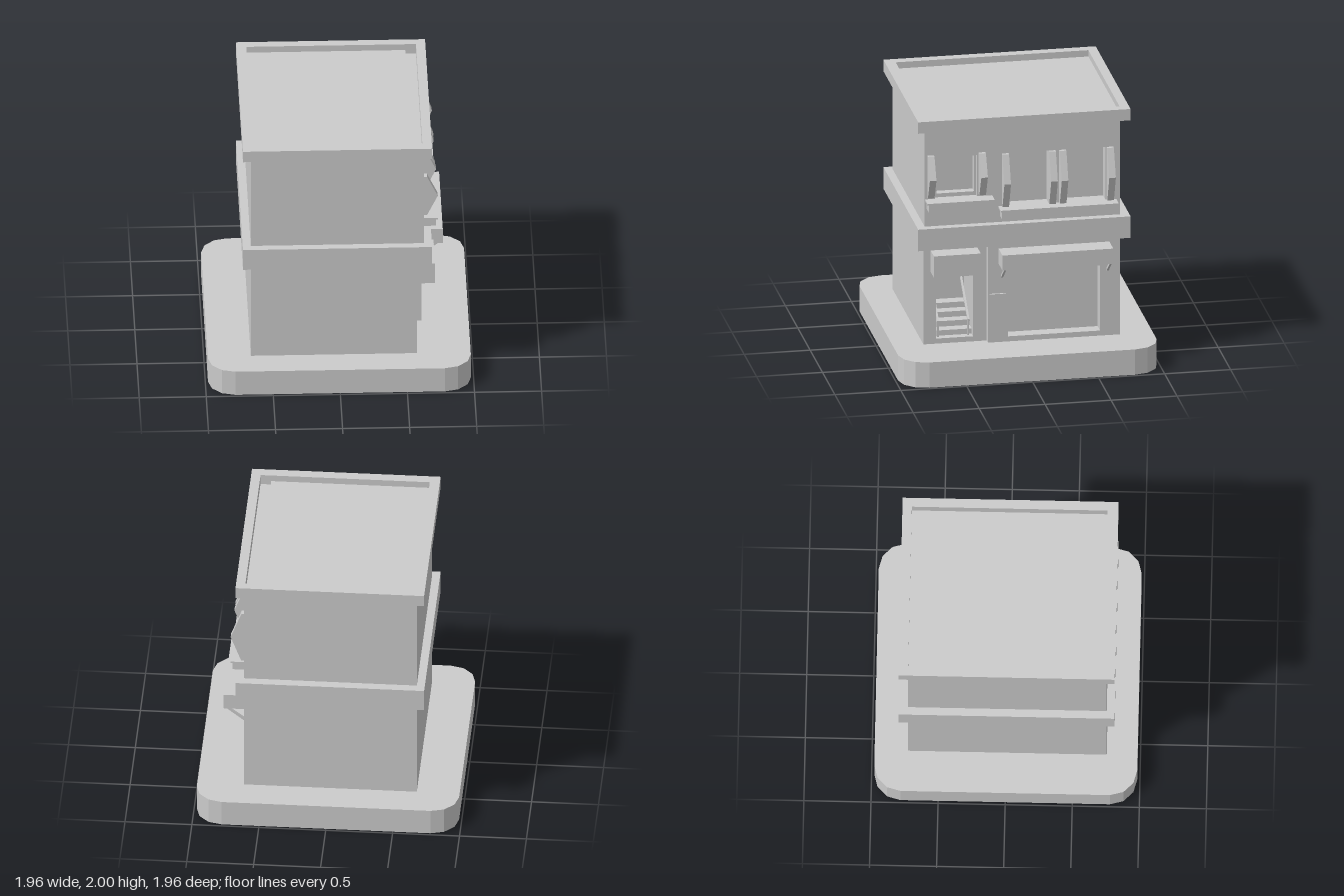
import * as THREE from 'three';

const mat = new THREE.MeshStandardMaterial({ color: 0xcccccc, flatShading: true });
const open = new THREE.MeshStandardMaterial({ color: 0xcccccc, flatShading: true, side: THREE.DoubleSide });

export function createModel() {
  const root = new THREE.Group();

  const add = (name, geometry, material = mat) => {
    const mesh = new THREE.Mesh(geometry, material);
    mesh.name = name;
    root.add(mesh);
    return mesh;
  };

  // Box given by its limits on each axis
  const box = (name, x0, x1, y0, y1, z0, z1) =>
    add(name, new THREE.BoxGeometry(x1 - x0, y1 - y0, z1 - z0))
      .position.set((x0 + x1) / 2, (y0 + y1) / 2, (z0 + z1) / 2);

  const rect = (Type, x0, x1, y0, y1) => new Type([
    new THREE.Vector2(x0, y0), new THREE.Vector2(x1, y0),
    new THREE.Vector2(x1, y1), new THREE.Vector2(x0, y1)]);

  // Wall in the z-y plane, from xBack to xFront; holes are [z0, z1, y0, y1]
  const panel = (name, xBack, xFront, z0, z1, y0, y1, holes) => {
    const shape = rect(THREE.Shape, -z1, -z0, y0, y1);
    for (const h of holes) shape.holes.push(rect(THREE.Path, -h[1], -h[0], h[2], h[3]));
    const g = new THREE.ExtrudeGeometry(shape, { depth: xFront - xBack, bevelEnabled: false });
    g.rotateY(Math.PI / 2).translate(xBack, 0, 0);
    return add(name, g);
  };

  // Outline in the x-y plane, thickened along z
  const profile = (name, points, z0, z1) => {
    const shape = new THREE.Shape(points.map(([x, y]) => new THREE.Vector2(x, y)));
    const g = new THREE.ExtrudeGeometry(shape, { depth: z1 - z0, bevelEnabled: false });
    return add(name, g.translate(0, 0, z0));
  };

  // Base: rounded plinth, hollow underneath
  const outline = [];
  for (let q = 0; q < 4; q++) {
    for (let i = 0; i <= 3; i++) {
      const a = (q + i / 3) * Math.PI / 2, c = (q + 0.5) * Math.PI / 2;
      outline.push(new THREE.Vector2(
        Math.sign(Math.cos(c)) * 0.78 + 0.2 * Math.cos(a),
        Math.sign(Math.sin(c)) * 0.78 + 0.2 * Math.sin(a)));
    }
  }
  const top = new THREE.ShapeGeometry(new THREE.Shape(outline));
  add('baseTop', top.rotateX(-Math.PI / 2).translate(0, 0.2, 0), open);
  const rim = [], index = [];
  outline.forEach((p, i) => {
    rim.push(p.x, 0, -p.y, p.x, 0.2, -p.y);
    const a = 2 * i, b = 2 * ((i + 1) % outline.length);
    index.push(a, b, a + 1, b, b + 1, a + 1);
  });
  const side = new THREE.BufferGeometry();
  side.setAttribute('position', new THREE.Float32BufferAttribute(rim, 3));
  side.setIndex(index);
  side.computeVertexNormals();
  add('baseSide', side, open);

  // Ground floor, with the door bay set back from the shop window bay
  box('groundFloorCore', -0.66, 0.23, 0.2, 0.98, -0.73, 0.75);
  box('shopCore', 0.23, 0.53, 0.2, 0.98, -0.73, 0.27);
  panel('shopWindowWall', 0.53, 0.63, -0.73, 0.27, 0.2, 0.98, [[-0.58, 0.12, 0.24, 0.755]]);
  panel('doorWall', 0.23, 0.58, 0.27, 0.75, 0.2, 0.98, [[0.375, 0.655, 0.24, 0.755]]);

  // Upper floor with three window openings
  box('upperFloorCore', -0.66, 0.54, 1.15, 1.95, -0.73, 0.75);
  panel('upperWindowWall', 0.54, 0.63, -0.73, 0.75, 1.15, 1.92, [
    [0.355, 0.67, 1.365, 1.69], [-0.19, 0.11, 1.275, 1.69], [-0.62, -0.325, 1.275, 1.69]]);
  panel('windowFrame', 0.54, 0.6, 0.355, 0.67, 1.365, 1.69, [[0.37, 0.655, 1.395, 1.68]]);

  // Band between floors and roof with a raised rim
  box('floorBand', -0.72, 0.69, 0.98, 1.15, -0.8, 0.81);
  const parapet = rect(THREE.Shape, -0.72, 0.69, -0.81, 0.8);
  parapet.holes.push(rect(THREE.Path, -0.645, 0.62, -0.73, 0.73));
  const ring = new THREE.ExtrudeGeometry(parapet, { depth: 0.09, bevelEnabled: false });
  add('roofRim', ring.rotateX(-Math.PI / 2).translate(0, 1.91, 0));

  // Pointed shutters beside each window: [z0, bottom, top]
  const shutters = [[0.68, 1.38, 1.71], [0.29, 1.38, 1.71], [0.115, 1.27, 1.69],
    [-0.24, 1.27, 1.69], [-0.32, 1.27, 1.69], [-0.68, 1.27, 1.69]];
  for (const [z, y0, y1] of shutters) {
    profile('shutter', [[0.63, y0], [0.655, y0], [0.735, (y0 + y1) / 2], [0.655, y1], [0.63, y1]], z, z + 0.05);
  }

  // Planter sills: [z0, z1, bottom]
  for (const [z0, z1, y] of [[0.25, 0.735, 1.29], [-0.69, 0.18, 1.2]]) {
    box('windowSill', 0.62, 0.72, y, y + 0.062, z0, z1);
    box('sillLedge', 0.62, 0.735, y + 0.062, y + 0.075, z0 - 0.012, z1 + 0.012);
  }

  // Door sign, shop awning with its two struts, and letter box
  box('doorSign', 0.57, 0.715, 0.77, 0.94, 0.34, 0.695);
  box('awning', 0.62, 0.79, 0.82, 0.94, -0.65, 0.19);
  for (const z of [-0.645, 0.155]) {
    profile('awningStrut', [[0.63, 0.71], [0.77, 0.82], [0.745, 0.82], [0.63, 0.735]], z, z + 0.016);
  }
  box('letterBox', 0.62, 0.645, 0.515, 0.585, 0.135, 0.26);

  // Stairs rising inward from the door, with sloping handrails
  for (let i = 0; i < 4; i++) {
    const x = 0.53 - i * 0.07, y = 0.285 + i * 0.047;
    box('step', 0.23, x - 0.01, 0.24, y - 0.014, 0.375, 0.655);
    box('tread', 0.23, x, y - 0.014, y, 0.375, 0.655);
  }
  for (const z of [0.397, 0.628]) {
    profile('handrail', [[0.56, 0.35], [0.56, 0.372], [0.25, 0.615], [0.25, 0.593]], z, z + 0.015);
    box('railPost', 0.535, 0.55, 0.24, 0.37, z, z + 0.015);
  }

  return root;
}
